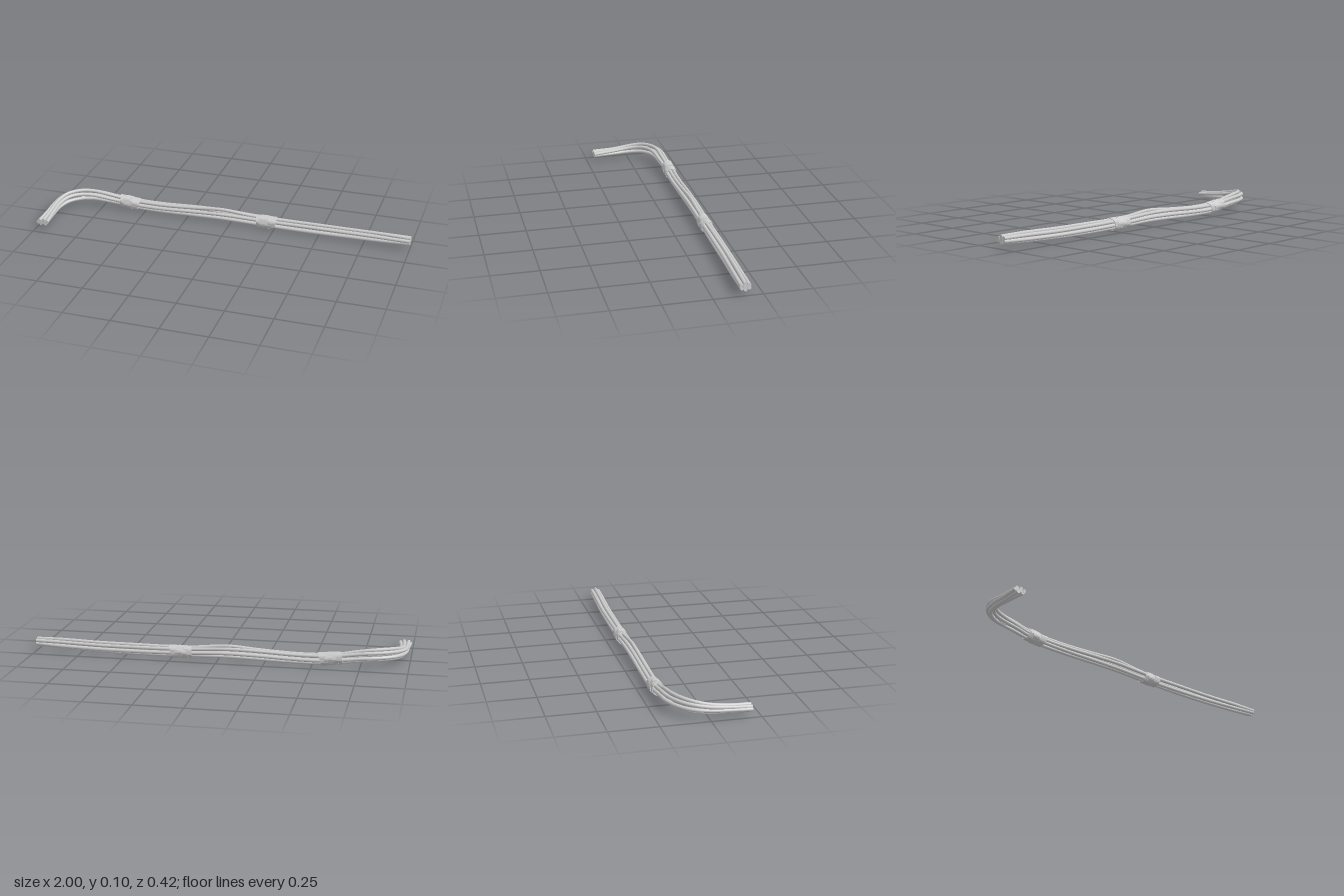
import * as THREE from 'three';

const grey = new THREE.MeshStandardMaterial({ color: 0xcccccc });
const tapeGrey = new THREE.MeshStandardMaterial({ color: 0xcccccc, side: THREE.DoubleSide });

// Bundle centre line: x, y, z, then sideways and vertical spread of the cables
const STATIONS = [
  [1, 0.049, -0.16, 1, 0.68], [0.85, 0.045, -0.163, 1, 0.95], [0.65, 0.04, -0.169, 1, 1],
  [0.45, 0.038, -0.171, 1, 1.05], [0.27, 0.038, -0.172, 0.98, 1], [0.13, 0.041, -0.172, 0.98, 1],
  [-0.04, 0.046, -0.171, 1, 1.1], [-0.2, 0.043, -0.171, 1, 1.1], [-0.4, 0.036, -0.171, 1, 1],
  [-0.54, 0.037, -0.172, 0.98, 1], [-0.65, 0.046, -0.17, 0.8, 1], [-0.73, 0.057, -0.163, 0.95, 1.1],
  [-0.81, 0.065, -0.154, 1.05, 1.2], [-0.88, 0.066, -0.126, 1, 1.25], [-0.935, 0.062, -0.075, 0.9, 1.15],
  [-0.96, 0.053, 0, 0.75, 0.9], [-0.962, 0.045, 0.1, 0.9, 0.65], [-0.96, 0.041, 0.208, 1.3, 0.52],
];
const centre = new THREE.CatmullRomCurve3(STATIONS.map(s => new THREE.Vector3(s[0], s[1], s[2])));
const spread = new THREE.CatmullRomCurve3(
  STATIONS.map((s, i) => new THREE.Vector3(s[3], s[4], i * 0.2)), false, 'catmullrom');

// Point beside the centre line, given as a sideways and vertical offset
function beside(t, a, b) {
  const p = centre.getPoint(t), d = centre.getTangent(t), s = spread.getPoint(t);
  const side = new THREE.Vector3(d.z, 0, -d.x).normalize();
  p.addScaledVector(side, a * s.x);
  p.y += b * s.y;
  return p;
}

// One cable with closed ends
function cable(name, radius, offset) {
  const pts = [];
  for (let i = 0; i <= 68; i++) pts.push(offset(i / 68));
  const curve = new THREE.CatmullRomCurve3(pts);
  const group = new THREE.Group();
  group.name = name;
  const tube = new THREE.Mesh(new THREE.TubeGeometry(curve, 150, radius, 10), grey);
  tube.name = 'cableSheath';
  group.add(tube);
  for (const end of [0, 1]) {
    const cap = new THREE.Mesh(new THREE.CircleGeometry(radius, 10), grey);
    const dir = curve.getTangent(end).multiplyScalar(end ? 1 : -1);
    cap.position.copy(pts[end ? 68 : 0]);
    cap.quaternion.setFromUnitVectors(new THREE.Vector3(0, 0, 1), dir);
    cap.name = 'cableEnd';
    group.add(cap);
  }
  return group;
}

// One slanted turn of tape: a thin, slightly lumpy band about the x axis
function tapeTurn(x, width, radius, slant, phase) {
  const profile = [[-0.5, -0.003], [-0.5, 0], [0.5, 0], [0.5, -0.003]];
  const n = 28, pos = [], idx = [];
  for (let i = 0; i <= n; i++) {
    const a = i / n * Math.PI * 2;
    const lump = 1 + 0.035 * Math.sin(6 * a + phase) + 0.015 * Math.sin(3 * a - phase);
    for (const [u, dr] of profile) {
      const r = radius * lump + dr;
      pos.push(x + u * width + slant * Math.cos(a + phase), r * Math.sin(a), r * Math.cos(a));
    }
  }
  for (let i = 0; i < n; i++) for (let j = 0; j < 3; j++) {
    const a = i * 4 + j, b = a + 4;
    idx.push(a, a + 1, b, b, a + 1, b + 1);
  }
  let geo = new THREE.BufferGeometry();
  geo.setAttribute('position', new THREE.Float32BufferAttribute(pos, 3));
  geo.setIndex(idx);
  geo = geo.toNonIndexed();
  geo.computeVertexNormals();
  const mesh = new THREE.Mesh(geo, tapeGrey);
  mesh.name = 'tapeTurn';
  return mesh;
}

function tapeWrap(name, x, y, z, tilt) {
  const group = new THREE.Group();
  group.name = name;
  for (let i = 0; i < 5; i++) {
    const slant = 0.009 * (i % 2 ? -1 : 1);
    group.add(tapeTurn((i - 2) * 0.018, 0.04, 0.0325 + 0.0006 * (i * 2 % 5), slant, i * 1.3));
  }
  group.position.set(x, y, z);
  group.rotation.z = tilt;
  return group;
}

export function createModel() {
  const model = new THREE.Group();
  model.name = 'cableBundle';

  // Six outer cables, gently wandering round the bundle
  for (let k = 0; k < 6; k++) {
    model.add(cable('outerCable' + (k + 1), 0.0098, t => {
      const a = k * Math.PI / 3 + 0.3 + 0.22 * Math.sin(t * 9 + 0.4 * k);
      const p = beside(t, 0.0212 * Math.cos(a), 0.0212 * Math.sin(a));
      // The top cable bows up between the wraps
      if (k === 1) p.y += 0.008 * Math.exp(-(((p.x + 0.05) / 0.12) ** 2));
      return p;
    }));
  }
  // Core cable
  model.add(cable('coreCable', 0.0098, t => beside(t, 0, 0)));

  // Thin loose wire that sags on the inside of the bend
  model.add(cable('thinWire', 0.005, t => {
    const p = beside(t, 0.012 * Math.sin(t * 7), 0.013);
    const sag = Math.exp(-(((t - 0.71) / 0.06) ** 2));
    p.y -= 0.038 * sag;
    p.z += 0.022 * sag;
    return p;
  }));

  model.add(tapeWrap('middleTapeWrap', 0.2, 0.037, -0.173, 0));
  model.add(tapeWrap('bendTapeWrap', -0.595, 0.042, -0.172, -0.1));
  return model;
}
